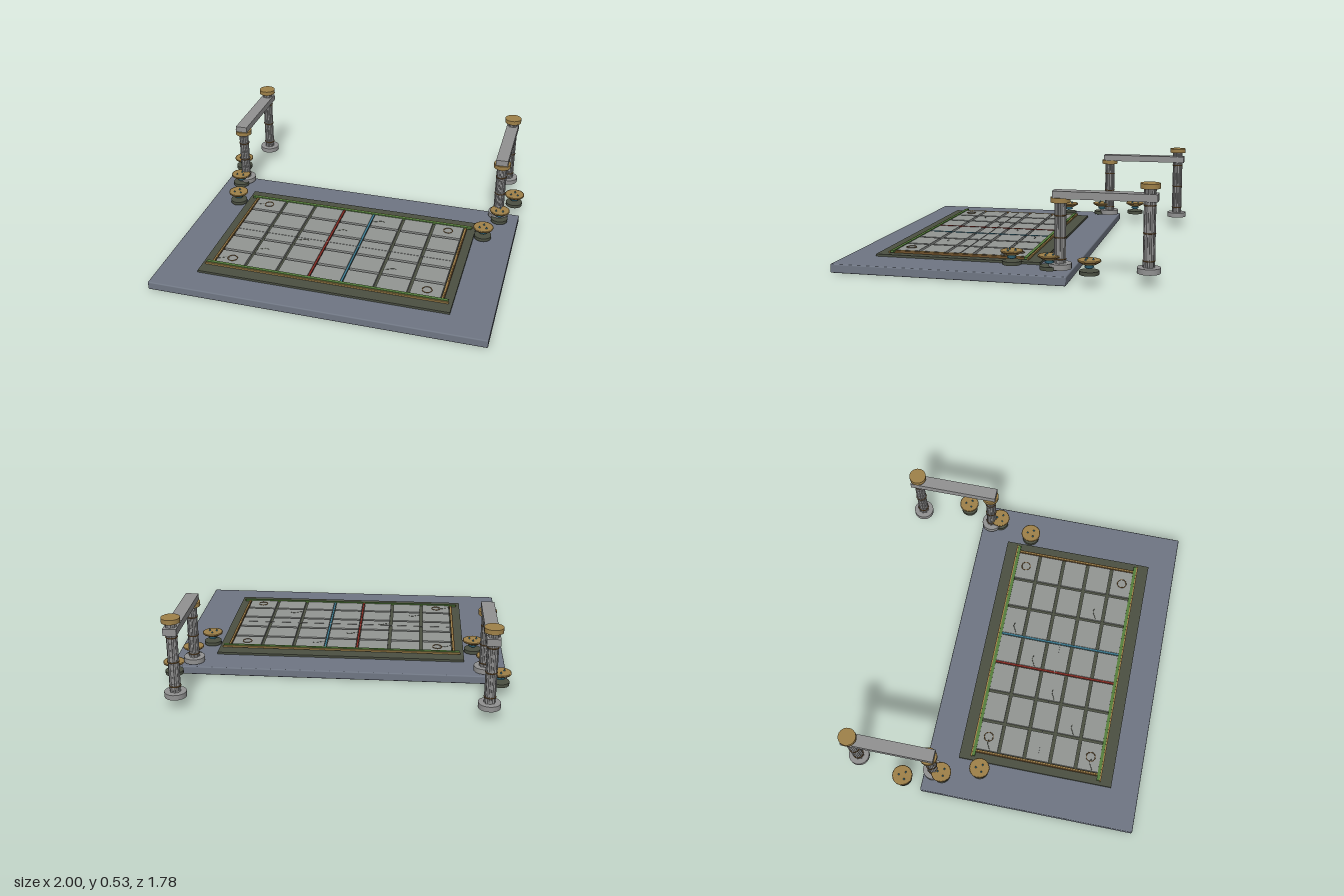
import * as THREE from 'three';
import { RoundedBoxGeometry } from 'three/addons/geometries/RoundedBoxGeometry.js';

const paint = (name, color) => Object.assign(new THREE.MeshStandardMaterial({ color }), { name });

export function createModel() {
  const slate = paint('slate', 0x6f7683);
  const olive = paint('dark olive stone', 0x4b5042);
  const tileGrey = paint('tile grey', 0x939693);
  const stone = paint('column stone', 0x929292);
  const gold = paint('gold', 0x9f8149);
  const bronze = paint('dark bronze', 0x70522c);
  const moss = paint('moss green', 0x567f3c);
  const red = paint('red', 0x8a2c24);
  const blue = paint('teal blue', 0x3f7f96);

  const root = new THREE.Group();
  root.name = 'courtyard';

  function add(parent, name, geometry, material, x = 0, y = 0, z = 0) {
    const mesh = new THREE.Mesh(geometry, material);
    mesh.name = name;
    mesh.position.set(x, y, z);
    parent.add(mesh);
    return mesh;
  }
  // Box and cylinder placed by their bottom and top heights
  const box = (parent, name, mat, w, d, y0, y1, x, z) =>
    add(parent, name, new THREE.BoxGeometry(w, y1 - y0, d), mat, x, (y0 + y1) / 2, z);
  const drum = (parent, name, mat, r, y0, y1, x = 0, z = 0, sides = 24) =>
    add(parent, name, new THREE.CylinderGeometry(r, r, y1 - y0, sides), mat, x, (y0 + y1) / 2, z);

  // Ground slab and the plinth of the court
  add(root, 'groundSlab', new RoundedBoxGeometry(1.98, 0.05, 1.31, 2, 0.007), slate, 0, 0.025, 0.235);
  box(root, 'courtPlinth', olive, 1.5, 0.95, 0.048, 0.063, 0, 0.245);

  // Paving, with open joints
  const court = new THREE.Group();
  court.name = 'court';
  root.add(court);
  const cx = 0, cz = 0.245, px = 0.196, pz = 0.16;
  for (let c = -3; c <= 3; c++) {
    for (let r = -2; r <= 2; r++) {
      box(court, 'tile', tileGrey, 0.178, 0.142, 0.062, 0.077, cx + c * px, cz + r * pz);
    }
  }

  // Edge rails: moss along the long sides, gold trim outside and at the ends
  for (const s of [-1, 1]) {
    box(court, 'mossRail', moss, 1.45, 0.018, 0.07, 0.082, 0, cz + s * 0.388);
    box(court, 'goldTrim', gold, 1.46, 0.009, 0.068, 0.078, 0, cz + s * 0.402);
    box(court, 'endRail', bronze, 0.016, 0.78, 0.062, 0.075, s * 0.69, cz);
    box(court, 'endTrim', gold, 0.006, 0.78, 0.062, 0.078, s * 0.688, cz);
  }

  // Painted lines
  box(court, 'redLine', red, 0.012, 0.77, 0.073, 0.079, -0.098, cz);
  box(court, 'blueLine', blue, 0.012, 0.77, 0.073, 0.079, 0.098, cz);
  box(court, 'centreLine', tileGrey, 1.36, 0.005, 0.073, 0.079, 0, cz);

  // Corner rings
  for (const sx of [-1, 1]) {
    for (const sz of [-1, 1]) {
      const ring = add(court, 'cornerRing', new THREE.TorusGeometry(0.028, 0.0025, 6, 24),
        bronze, sx * 0.59, 0.078, cz + sz * 0.32);
      ring.rotation.x = Math.PI / 2;
    }
  }

  // Hairline cracks
  const crackPath = new THREE.CatmullRomCurve3([
    [-0.035, 0.012], [-0.012, 0.002], [0.005, -0.008], [0.02, -0.01], [0.035, -0.003],
  ].map(([x, z]) => new THREE.Vector3(x, 0, z)));
  const crackGeometry = new THREE.TubeGeometry(crackPath, 10, 0.0015, 4);
  for (const [x, z] of [[-0.64, -0.065], [0.15, -0.06], [-0.05, 0.1], [-0.245, 0.265],
    [-0.445, 0.425], [0.345, 0.425], [-0.64, 0.575]]) {
    add(court, 'crack', crackGeometry, olive, x, 0.0775, z);
  }

  // Ribbed column with foot, bands and a gold capital
  function column(parent, name, x, z, capBottom, capTop, bands) {
    const g = new THREE.Group();
    g.name = name;
    g.position.set(x, 0, z);
    parent.add(g);
    drum(g, 'columnFoot', stone, 0.062, 0.065, 0.095);
    drum(g, 'columnShaft', stone, 0.027, 0.09, capBottom + 0.002, 0, 0, 16);
    for (let i = 0; i < 8; i++) {
      const a = (i / 8) * Math.PI * 2;
      drum(g, 'columnRib', stone, 0.006, 0.09, capBottom, Math.cos(a) * 0.026, Math.sin(a) * 0.026, 8);
    }
    for (const y of bands) {
      const band = add(g, 'columnBand', new THREE.TorusGeometry(0.031, 0.0035, 6, 24), bronze, 0, y, 0);
      band.rotation.x = Math.PI / 2;
    }
    drum(g, 'columnCapital', gold, 0.052, capBottom, capTop);
  }

  // Offering bowl: low drum foot, teal underside, gold dish and small crystals
  const underside = [[0, 0.092], [0.016, 0.092], [0.026, 0.098], [0.022, 0.106], [0.036, 0.116], [0.04, 0.122], [0, 0.122]];
  const dish = [[0, 0.114], [0.036, 0.114], [0.06, 0.128], [0.061, 0.137], [0.056, 0.138], [0, 0.136]];
  const lathe = (points) =>
    new THREE.LatheGeometry(points.map(([r, y]) => new THREE.Vector2(r, y)), 20);
  function bowl(parent, x, z) {
    const g = new THREE.Group();
    g.name = 'bowl';
    g.position.set(x, 0, z);
    parent.add(g);
    drum(g, 'bowlFoot', olive, 0.052, 0.06, 0.08);
    add(g, 'bowlUnderside', lathe(underside), blue);
    add(g, 'bowlDish', lathe(dish), gold);
    const lip = add(g, 'bowlLip', new THREE.TorusGeometry(0.059, 0.0025, 6, 24), bronze, 0, 0.131, 0);
    lip.rotation.x = Math.PI / 2;
    for (let i = 0; i < 3; i++) {
      const a = Math.PI / 2 + (i / 3) * Math.PI * 2;
      add(g, 'crystal', new THREE.ConeGeometry(0.007, 0.014, 6), blue,
        Math.cos(a) * 0.025, 0.142, -Math.sin(a) * 0.025 + 0.004);
    }
  }

  // Matching gateway and bowls on each side
  for (const [side, s] of [['left', 1], ['right', -1]]) {
    const gate = new THREE.Group();
    gate.name = side + 'Gateway';
    root.add(gate);
    column(gate, 'frontColumn', s * 0.86, -0.363, 0.418, 0.444, [0.117, 0.233, 0.35]);
    column(gate, 'backColumn', s * 0.86, -0.83, 0.507, 0.534, [0.13, 0.275, 0.42]);
    box(gate, 'crossBeam', stone, 0.075, 0.548, 0.44, 0.48, s * 0.86, -0.599);
    for (const [x, z] of [[0.94, -0.533], [0.875, -0.308], [0.805, -0.086]]) bowl(gate, s * x, z);
  }
  return root;
}
